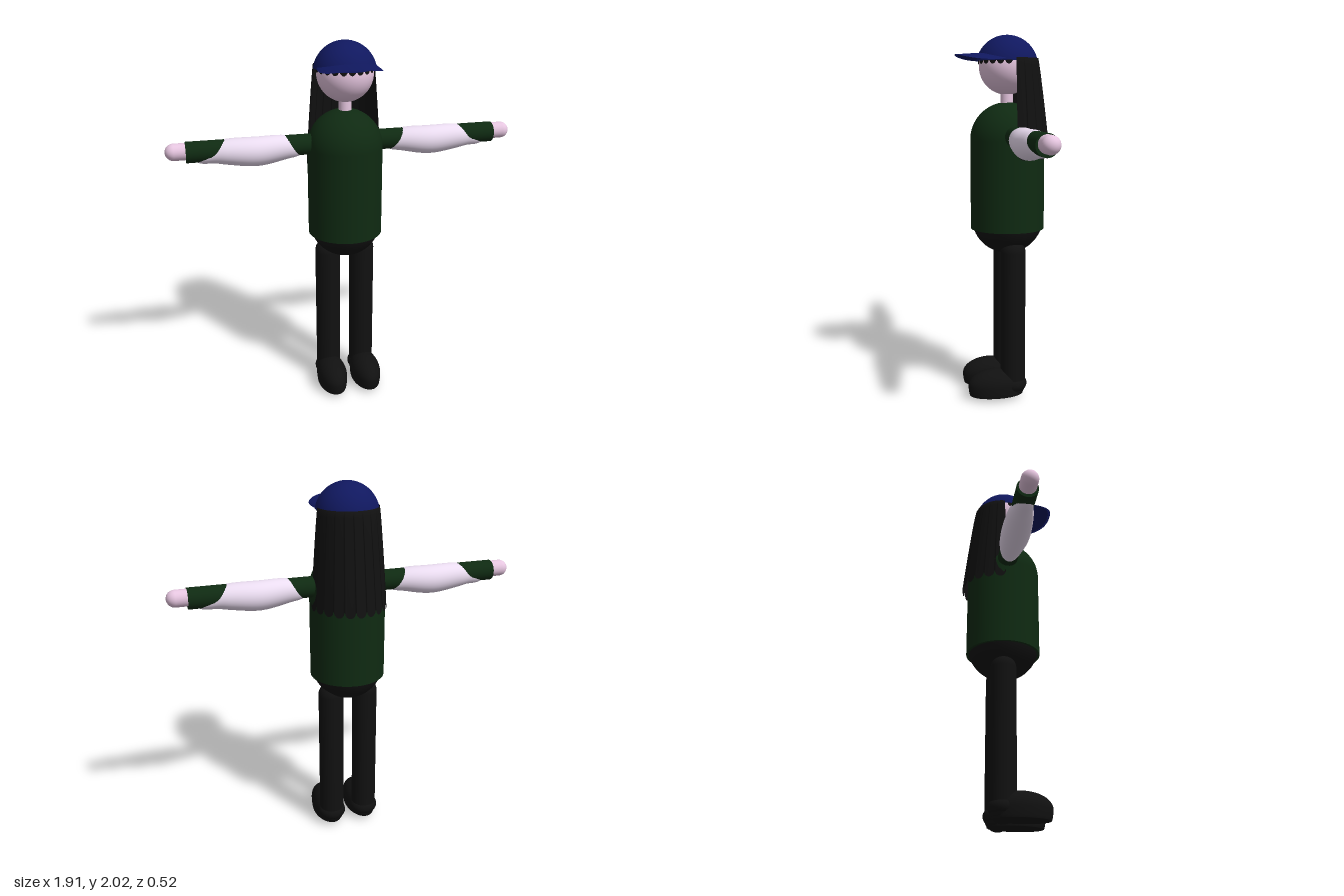
import * as THREE from 'three';
import { ParametricGeometry } from 'three/addons/geometries/ParametricGeometry.js';

const material = (color, side = THREE.FrontSide) => new THREE.MeshStandardMaterial({ color, side });
const black = material(0x111111);
const hairBlack = material(0x111111, THREE.DoubleSide);
const navy = material(0x10185f, THREE.DoubleSide);
const green = material(0x0f2a12);
const skin = material(0xe6c6e0);
const pale = material(0xeadcf0);

const BODY_Z = -0.024;

function add(parent, name, geometry, mat, x = 0, y = 0, z = 0) {
  const mesh = new THREE.Mesh(geometry, mat);
  mesh.name = name;
  mesh.position.set(x, y, z);
  parent.add(mesh);
  return mesh;
}

// Straight-sided shirt with a domed top
function torsoGeometry() {
  const points = [new THREE.Vector2(0.185, 0.94), new THREE.Vector2(0.205, 0.94), new THREE.Vector2(0.205, 0.94)];
  for (let i = 0; i <= 20; i++) {
    const a = (i / 20) * Math.PI / 2;
    points.push(new THREE.Vector2(0.205 * Math.cos(a), 1.435 + 0.205 * Math.sin(a)));
  }
  return new THREE.LatheGeometry(points, 48);
}

// Forearm bulge: lathe along x whose centre line sags (radius, x, centre height)
function forearmGeometry() {
  const curve = new THREE.CatmullRomCurve3([
    [0, 0.20, 1.44], [0.04, 0.25, 1.442], [0.063, 0.32, 1.45], [0.078, 0.48, 1.438],
    [0.068, 0.64, 1.447], [0.056, 0.70, 1.446], [0.04, 0.78, 1.436], [0, 0.84, 1.43],
  ].map(p => new THREE.Vector3(...p)));
  const samples = curve.getPoints(42);
  const geometry = new THREE.LatheGeometry(samples.map(p => new THREE.Vector2(Math.max(p.x, 0), p.y)), 32);
  geometry.rotateZ(-Math.PI / 2);
  const pos = geometry.attributes.position;
  for (let i = 0; i < pos.count; i++) pos.setY(i, pos.getY(i) + samples[i % samples.length].z);
  return geometry;
}

// Rounded shoe with a flat sole
function shoeGeometry() {
  const geometry = new THREE.SphereGeometry(1, 40, 48).scale(0.085, 0.09, 0.16);
  const pos = geometry.attributes.position;
  for (let i = 0; i < pos.count; i++) {
    const y = pos.getY(i);
    if (y < 0) pos.setY(i, Math.max(y * 2, -0.06));
  }
  geometry.computeVertexNormals();
  return geometry;
}

// Scalloped lower edge, 0 at the tips and 1 in the notches
const scallop = (u, count) => 1 - Math.sqrt(Math.abs(Math.sin(u * count * Math.PI)));

// Long hair: flaring half cone behind the head
function hairGeometry() {
  return new ParametricGeometry((u, v, target) => {
    const a = u * Math.PI;
    const bottom = 1.335 + 0.035 * scallop(u, 11);
    const y = 1.875 + (bottom - 1.875) * v;
    const spread = Math.pow(v, 0.85);
    target.set((0.165 + 0.04 * spread) * Math.cos(a), y, -0.037 - (0.155 + 0.068 * spread) * Math.sin(a));
  }, 132, 16);
}

// Short fringe around the front of the head
function fringeGeometry() {
  return new ParametricGeometry((u, v, target) => {
    const a = u * Math.PI;
    const y = 1.89 + (1.842 + 0.03 * scallop(u, 11) - 1.89) * v;
    target.set(0.157 * Math.cos(a), y, -0.022 + 0.157 * Math.sin(a));
  }, 132, 4);
}

// Visor: closed sheet folded over its rim, drooping to the sides
function visorGeometry() {
  const soft = c => Math.sign(c) * Math.pow(Math.abs(c), 0.8);
  return new ParametricGeometry((u, v, target) => {
    const a = u * Math.PI;
    const s = 1 - Math.abs(2 * v - 1);
    const inX = 0.155 * Math.cos(a), inZ = -0.02 + 0.155 * Math.sin(a);
    const outX = 0.166 * soft(Math.cos(a)), outZ = 0.06 + 0.203 * soft(Math.sin(a));
    const x = inX + (outX - inX) * s;
    const z = inZ + (outZ - inZ) * s;
    const thickness = 0.009 * (1 - s) * (v < 0.5 ? 1 : -1);
    target.set(x, 1.894 - 0.03 * (x / 0.165) ** 2 + thickness, z);
  }, 48, 16);
}

function createArm(name) {
  const arm = new THREE.Group();
  arm.name = name;
  add(arm, 'sleeve', new THREE.CylinderGeometry(0.056, 0.056, 0.70, 32).rotateZ(Math.PI / 2), green, 0.5, 1.458);
  add(arm, 'forearm', forearmGeometry(), pale);
  add(arm, 'hand', new THREE.CapsuleGeometry(0.045, 0.12, 12, 28).rotateZ(Math.PI / 2), skin, 0.85, 1.464);
  arm.position.z = -0.026;
  return arm;
}

function createLeg(name, side) {
  const leg = new THREE.Group();
  leg.name = name;
  add(leg, 'trouserLeg', new THREE.CapsuleGeometry(0.07, 0.77, 12, 32), black, 0, 0.435, -0.035);
  add(leg, 'shoe', shoeGeometry(), black, 0.002 * side, 0.06, 0.06);
  add(leg, 'heel', new THREE.SphereGeometry(0.08, 28, 20).scale(1, 0.72, 1), black, 0, 0.06, -0.034);
  leg.position.x = 0.1 * side;
  return leg;
}

export function createModel() {
  const model = new THREE.Group();
  model.name = 'figure';

  // Body
  add(model, 'shirt', torsoGeometry(), green, 0, 0, BODY_Z);
  add(model, 'hips', new THREE.SphereGeometry(0.2, 40, 28), black, 0, 1.0, BODY_Z);
  add(model, 'neck', new THREE.CylinderGeometry(0.035, 0.035, 0.14, 24), skin, 0, 1.65, -0.02);

  // Head, hair and cap
  add(model, 'head', new THREE.SphereGeometry(0.152, 40, 28), skin, 0, 1.832, -0.02);
  add(model, 'longHair', hairGeometry(), hairBlack);
  add(model, 'fringe', fringeGeometry(), hairBlack);
  add(model, 'cap', new THREE.SphereGeometry(0.17, 48, 20, 0, Math.PI * 2, 0, 1.39), navy, 0, 1.83, -0.022);
  add(model, 'visor', visorGeometry(), navy);

  // Limbs
  const rightArm = createArm('rightArm');
  rightArm.rotation.y = Math.PI;
  model.add(createArm('leftArm'), rightArm);
  model.add(createLeg('leftLeg', 1), createLeg('rightLeg', -1));

  return model;
}
